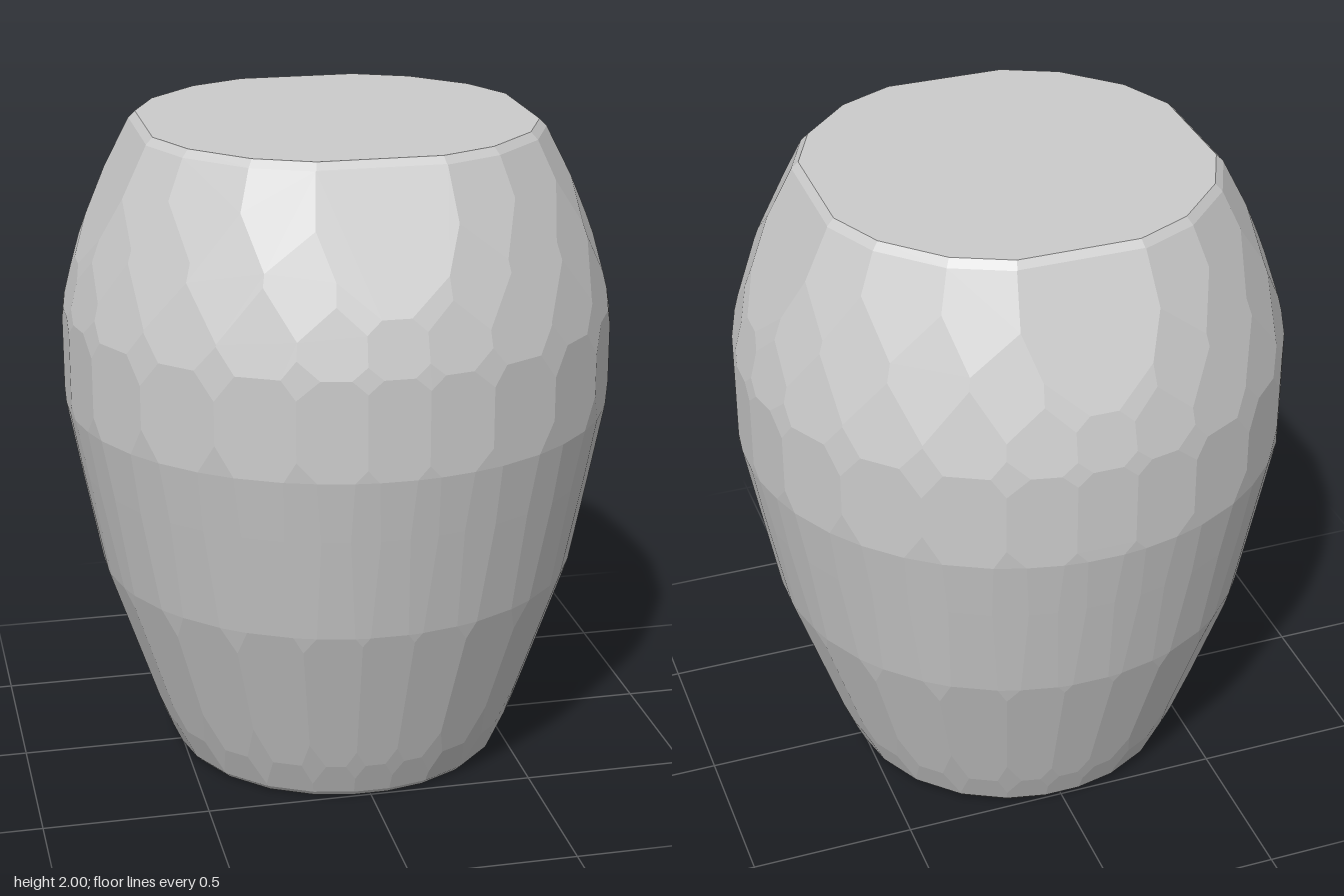
import * as THREE from 'three';
import { ConvexGeometry } from 'three/addons/geometries/ConvexGeometry.js';

// Side profile as [radius, height], from foot to rim
const PROFILE = [
  [0.49, 0], [0.51, 0.02], [0.56, 0.13], [0.735, 0.65], [0.79, 0.95],
  [0.825, 1.13], [0.825, 1.44], [0.785, 1.6], [0.595, 1.98], [0.575, 2],
];

// Facet directions within one quarter turn, in degrees
const FINE = [0, 12.3, 27.5, 45, 62.5, 77.7];
const STAGGERED = [6.2, 18.3, 36.6, 53.4, 71.7, 83.8];
const WIDE = [0, 24.5, 45, 65.5];

// The planes that cut the stone-like body, as normal and offset from its middle
function cuttingPlanes() {
  const planes = [
    { n: new THREE.Vector3(0, 1, 0), d: 1 },
    { n: new THREE.Vector3(0, -1, 0), d: 1 },
  ];
  const addRing = (angles, nr, ny, r, y, diagonalScale = 1) => {
    for (let quarter = 0; quarter < 4; quarter++) {
      for (const a of angles) {
        const t = THREE.MathUtils.degToRad(a + quarter * 90);
        const radius = r * (a === 0 ? 1 : diagonalScale);
        planes.push({
          n: new THREE.Vector3(Math.sin(t) * nr, ny, Math.cos(t) * nr),
          d: nr * radius + ny * (y - 1),
        });
      }
    }
  };

  // One ring of facets along every profile edge; wide ones near the rim
  const normals = [];
  for (let i = 0; i < PROFILE.length - 1; i++) {
    const [r0, y0] = PROFILE[i], [r1, y1] = PROFILE[i + 1];
    const edge = new THREE.Vector2(y1 - y0, r0 - r1).normalize();
    normals.push(edge);
    const top = i >= PROFILE.length - 3;
    addRing(top ? WIDE : FINE, edge.x, edge.y, r1, y1, top ? 1.04 : 1);
  }

  // Staggered facets that chip the corners between the body rings
  for (let i = 2; i < PROFILE.length - 2; i++) {
    const n = normals[i - 1].clone().add(normals[i]).normalize();
    addRing(STAGGERED, n.x, n.y, PROFILE[i][0], PROFILE[i][1]);
  }
  return planes;
}

// Corners of the solid bounded by the planes, found through its polar dual
function solidCorners(planes) {
  const dual = new ConvexGeometry(planes.map(({ n, d }) => n.clone().divideScalar(d)));
  const p = dual.attributes.position;
  const corners = new Map();
  const [a, b, c] = [0, 1, 2].map(() => new THREE.Vector3());
  for (let i = 0; i < p.count; i += 3) {
    a.fromBufferAttribute(p, i);
    b.fromBufferAttribute(p, i + 1);
    c.fromBufferAttribute(p, i + 2);
    const m = b.clone().sub(a).cross(c.clone().sub(a));
    if (m.length() < 1e-6) continue;
    const v = m.divideScalar(m.dot(a));
    const key = v.toArray().map((k) => Math.round(k * 2000)).join();
    if (!corners.has(key)) corners.set(key, v);
  }
  dual.dispose();
  return [...corners.values()];
}

export function createModel() {
  const group = new THREE.Group();
  group.name = 'facetedStool';

  // Solid chiselled body with flat top and foot
  const geometry = new ConvexGeometry(solidCorners(cuttingPlanes()));
  geometry.translate(0, 1, 0);
  const body = new THREE.Mesh(
    geometry,
    new THREE.MeshStandardMaterial({ color: 0xcccccc, flatShading: true }),
  );
  body.name = 'facetedBody';
  group.add(body);
  return group;
}
